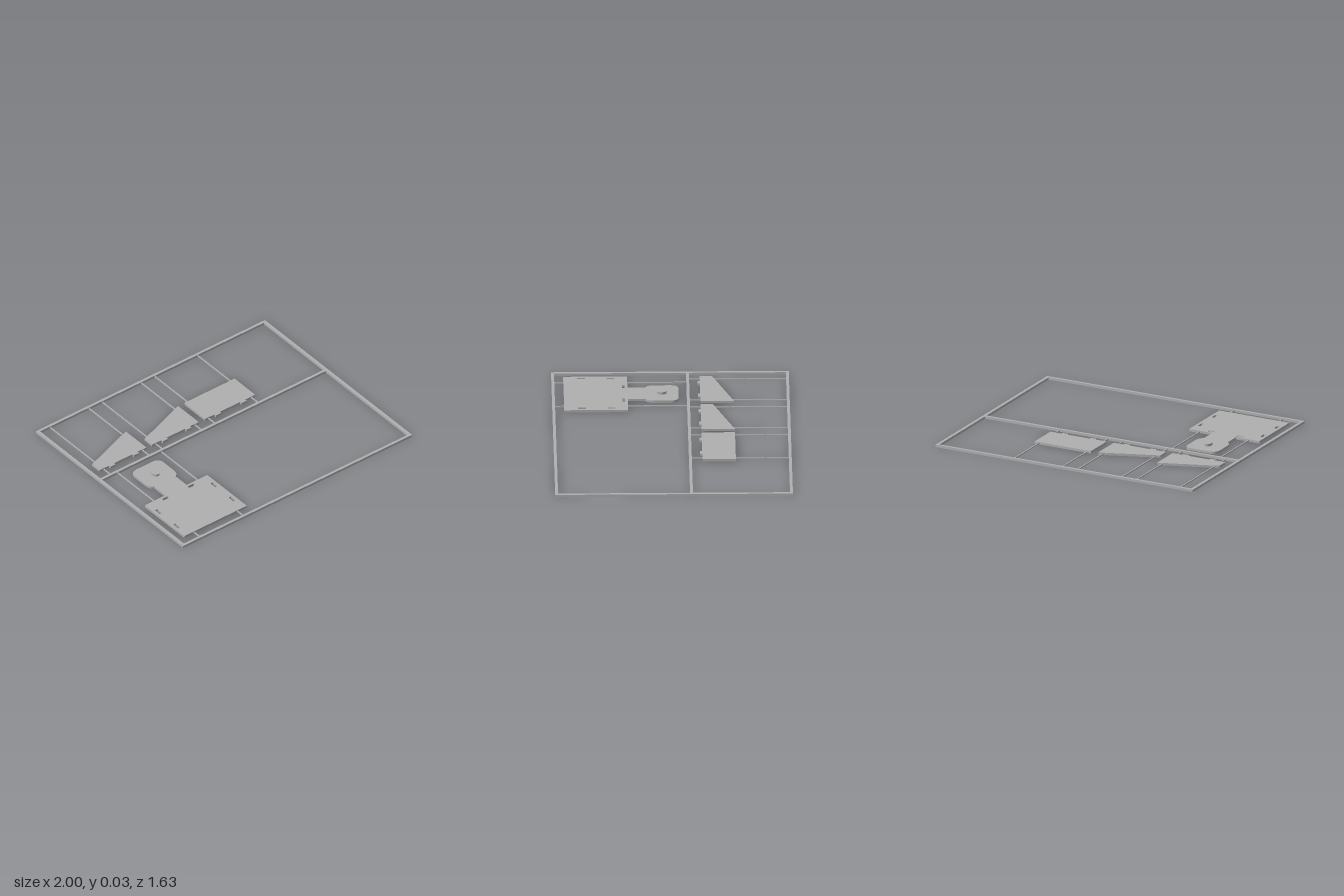
import * as THREE from 'three';

const T = 0.017; // sheet thickness

export function createModel() {
  const model = new THREE.Group();
  const grey = new THREE.MeshStandardMaterial({ color: 0xb0b0b0 });
  grey.name = 'plain grey plastic';

  const add = (name, geometry, parent = model) => {
    const mesh = new THREE.Mesh(geometry, grey);
    mesh.name = name;
    parent.add(mesh);
    return mesh;
  };
  // Box given by its x, y and z ranges
  const bar = (name, x0, x1, y0, y1, z0, z1, parent) =>
    add(name, new THREE.BoxGeometry(x1 - x0, y1 - y0, z1 - z0), parent)
      .position.set((x0 + x1) / 2, (y0 + y1) / 2, (z0 + z1) / 2);
  // Flat part lying on the ground; shapes are drawn with (x, -z)
  const flatPart = (name, shape) => {
    const g = new THREE.ExtrudeGeometry(shape, { depth: T, bevelEnabled: false, curveSegments: 8 });
    return add(name, g.rotateX(-Math.PI / 2));
  };

  // Outer frame and crossbar
  const frame = new THREE.Group();
  frame.name = 'frame';
  model.add(frame);
  for (const s of [-1, 1]) {
    const side = [s * 1, s * 0.978].sort((a, b) => a - b);
    const end = [s * 0.815, s * 0.795].sort((a, b) => a - b);
    bar('frameSide', ...side, 0, T, -0.815, 0.815, frame);
    bar('frameEnd', -0.978, 0.978, 0, T, ...end, frame);
  }
  bar('crossbar', -0.978, 0.978, 0, T, -0.13, -0.11, frame);

  // Thin runners joining the parts to the frame
  const runner = (x, z0, z1) => bar('runner', x - 0.004, x + 0.004, 0.004, 0.012, z0, z1);

  // Three side panels with two tabs each
  const panels = [
    ['leftWedgePanel', -0.925, -0.517, -0.287, [-0.845, -0.64], [-0.89, -0.55]],
    ['rightWedgePanel', -0.467, -0.06, -0.287, [-0.387, -0.182], [-0.435, -0.093]],
    ['rectangularPanel', -0.005, 0.433, -0.432, [0.078, 0.3], [0.025, 0.4]],
  ];
  for (const [name, x0, x1, zLow, tabs, runners] of panels) {
    const s = new THREE.Shape().moveTo(x0, 0.203);
    for (const t of tabs) {
      s.lineTo(t, 0.203).lineTo(t, 0.187).lineTo(t + 0.046, 0.187).lineTo(t + 0.046, 0.203);
    }
    s.lineTo(x1, 0.203).lineTo(x1, 0.432).lineTo(x0, -zLow);
    flatPart(name, s);
    for (const x of runners) {
      const zEdge = zLow + (-0.432 - zLow) * (x - x0) / (x1 - x0);
      runner(x, -0.797, zEdge + 0.005);
      runner(x, -0.205, -0.128);
    }
  }

  // Base plate with neck and rounded head, centred on cx
  const cx = -0.652;
  const half = [[0.273, -0.733], [0.273, -0.295], [0.093, -0.295], [0.093, -0.172]];
  const plate = new THREE.Shape().moveTo(cx - 0.273, -0.733);
  for (const [x, y] of half) plate.lineTo(cx + x, y);
  plate.bezierCurveTo(cx + 0.115, -0.165, cx + 0.125, -0.14, cx + 0.125, -0.1);
  plate.lineTo(cx + 0.125, 0);
  plate.bezierCurveTo(cx + 0.125, 0.035, cx + 0.105, 0.054, cx + 0.07, 0.054);
  plate.lineTo(cx - 0.07, 0.054);
  plate.bezierCurveTo(cx - 0.105, 0.054, cx - 0.125, 0.035, cx - 0.125, 0);
  plate.lineTo(cx - 0.125, -0.1);
  plate.bezierCurveTo(cx - 0.125, -0.14, cx - 0.115, -0.165, cx - 0.093, -0.172);
  plate.lineTo(cx - 0.093, -0.295).lineTo(cx - 0.273, -0.295);

  // Slots, mirrored about the plate's centre line: x, z, width, length
  for (const [x, z, w, l] of [[0.112, 0.323, 0.05, 0.02], [0.242, 0.41, 0.02, 0.054], [0.242, 0.612, 0.02, 0.054]]) {
    for (const s of [-1, 1]) {
      const a = cx + s * x - w / 2, b = a + w, c = -z - l / 2, d = c + l;
      plate.holes.push(new THREE.Path().moveTo(a, c).lineTo(a, d).lineTo(b, d).lineTo(b, c).closePath());
    }
  }
  flatPart('basePlate', plate);

  // Oval peg on the head
  const peg = add('peg', new THREE.CylinderGeometry(1, 1, 0.02, 24));
  peg.scale.set(0.027, 1, 0.035);
  peg.position.set(cx, 0.024, 0.063);

  for (const x of [-0.84, -0.46]) {
    runner(x, -0.112, 0.3);
    runner(x, 0.73, 0.797);
  }
  return model;
}
